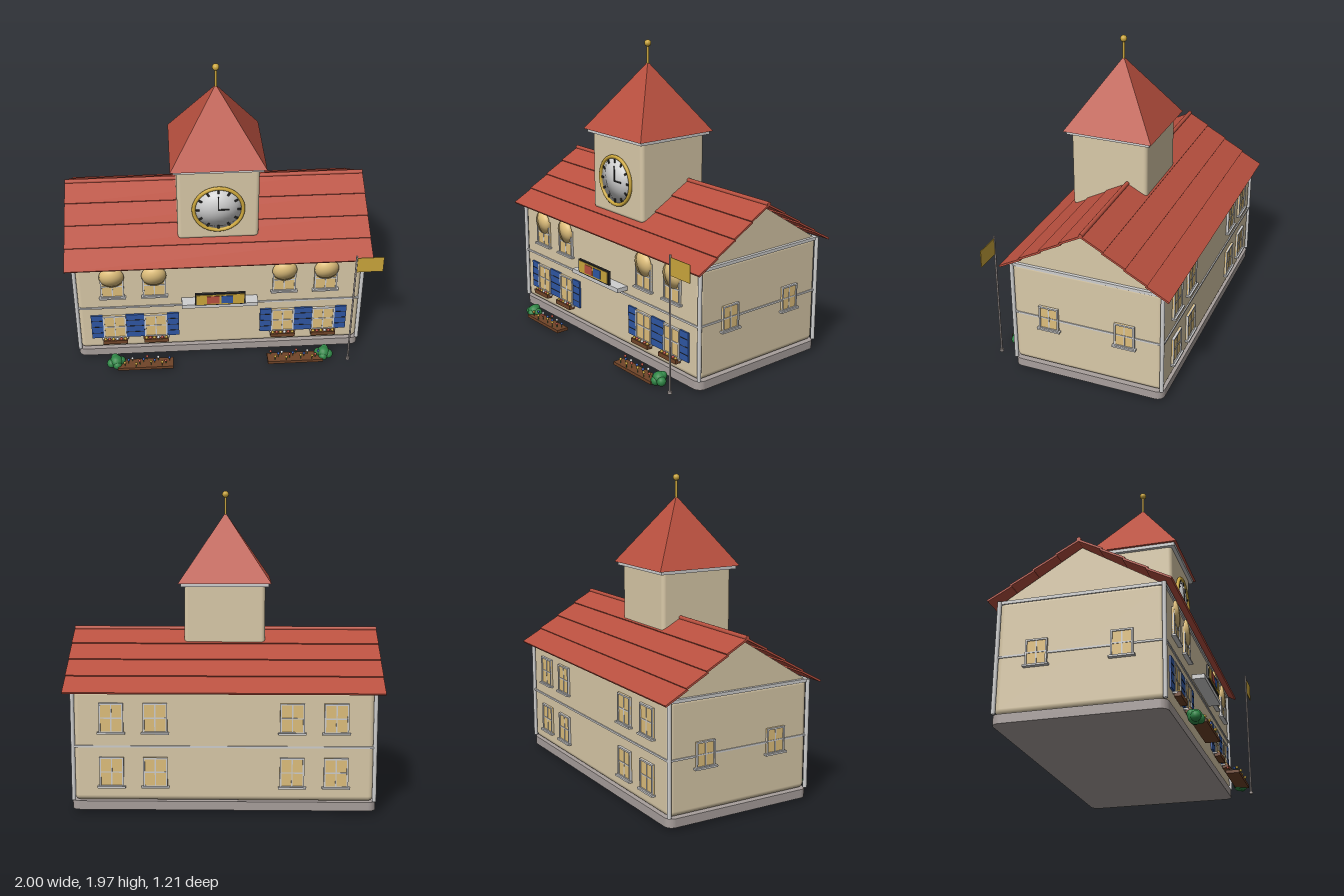
import * as THREE from 'three';
import { RoundedBoxGeometry } from 'three/addons/geometries/RoundedBoxGeometry.js';

const mat = (name, color) => {
  const m = new THREE.MeshStandardMaterial({ color });
  m.name = name;
  return m;
};
const wall = mat('cream plaster', 0xd9c9a8), roofRed = mat('red tile', 0xb9503f);
const stone = mat('grey stone', 0xa89f9c), trim = mat('light grey trim', 0xcfcfcf);
const gold = mat('gold', 0xcba63c), blue = mat('blue', 0x2f57a4);
const wood = mat('brown wood', 0x704428), green = mat('leaf green', 0x2e8545);
const dark = mat('dark metal', 0x2a2a2a), glass = mat('warm glass', 0xdfbf7c);

function add(parent, name, geo, m, x = 0, y = 0, z = 0) {
  const mesh = new THREE.Mesh(geo, m);
  mesh.name = name;
  mesh.position.set(x, y, z);
  parent.add(mesh);
  return mesh;
}
const box = (p, name, m, w, h, d, x, y, z) => add(p, name, new THREE.BoxGeometry(w, h, d), m, x, y, z);
const ball = (p, name, m, r, x, y, z) => add(p, name, new THREE.SphereGeometry(r, 14, 10), m, x, y, z);
const rod = (p, name, m, r, h, x, y, z) => add(p, name, new THREE.CylinderGeometry(r, r, h, 12), m, x, y, z);

function group(parent, name, x = 0, y = 0, z = 0, ry = 0) {
  const g = new THREE.Group();
  g.name = name;
  g.position.set(x, y, z);
  g.rotation.y = ry;
  parent.add(g);
  return g;
}

// Disc squashed from a ball, keeping the ball's soft normals
function softDisc(r, depth) {
  const geo = new THREE.SphereGeometry(r, 40, 20);
  const pos = geo.attributes.position;
  for (let i = 0; i < pos.count; i++) pos.setZ(i, pos.getZ(i) * depth / r);
  return geo;
}

// Four-pane window facing +z
function makeWindow(parent, name, w, h, x, y, z, ry = 0) {
  const g = group(parent, name, x, y, z, ry), t = 0.01;
  box(g, 'glass', glass, w, h, 0.008, 0, 0, 0.003);
  for (const s of [-1, 1]) {
    box(g, 'frameSide', trim, t, h, 0.018, s * (w - t) / 2, 0, 0.005);
    box(g, 'frameRail', trim, w, t, 0.018, 0, s * (h - t) / 2, 0.005);
  }
  box(g, 'mullion', trim, 0.008, h, 0.012, 0, 0, 0.004);
  box(g, 'crossbar', trim, w, 0.008, 0.012, 0, 0, 0.004);
  box(g, 'sill', trim, w + 0.022, 0.011, 0.03, 0, -h / 2, 0.01);
  return g;
}

function buildShell(house) {
  // Plinth with rounded corners
  const a = 0.94, b = 0.502, r = 0.05, s = new THREE.Shape();
  s.absarc(a - r, b - r, r, 0, Math.PI / 2);
  s.absarc(r - a, b - r, r, Math.PI / 2, Math.PI);
  s.absarc(r - a, r - b, r, Math.PI, Math.PI * 1.5);
  s.absarc(a - r, r - b, r, Math.PI * 1.5, Math.PI * 2);
  const base = new THREE.ExtrudeGeometry(s, { depth: 0.055, bevelEnabled: false, curveSegments: 5 });
  add(house, 'plinth', base.rotateX(-Math.PI / 2), stone, 0, 0.02, 0);

  add(house, 'walls', new RoundedBoxGeometry(1.85, 0.7, 0.985, 4, 0.035), wall, 0, 0.425, 0);
  box(house, 'stringCourse', trim, 1.862, 0.012, 1, 0, 0.42, 0);
  box(house, 'cornice', trim, 1.86, 0.02, 1, 0, 0.763, 0);

  const gable = new THREE.Shape([[-0.48, 0.77], [0.48, 0.77], [0, 1.068]].map(p => new THREE.Vector2(...p)));
  const gableGeo = new THREE.ExtrudeGeometry(gable, { depth: 1.82, bevelEnabled: false });
  add(house, 'gables', gableGeo.translate(0, 0, -0.91).rotateY(Math.PI / 2), wall);

  for (const x of [-0.928, 0.928]) for (const z of [-0.491, 0.491])
    rod(house, 'downpipe', trim, 0.013, 0.69, x, 0.425, z);
}

function buildRoof(house) {
  // Overlapping tile courses on both slopes
  const rows = 4, run = 0.542, rise = 0.325, len = Math.hypot(run, rise), step = len / rows;
  for (const ry of [0, Math.PI]) {
    const side = group(house, 'roofSlope', 0, 1.085, 0, ry);
    const slope = group(side, 'courses');
    slope.rotation.x = Math.atan2(rise, run);
    for (let i = 0; i < rows; i++) {
      const row = box(slope, 'tileCourse', roofRed, 1.962, 0.012, step + 0.006, 0, 0, (i + 0.5) * step);
      row.rotation.x = -0.05;
    }
  }
  const ridge = rod(house, 'ridge', roofRed, 0.014, 1.962, 0, 1.087, 0);
  ridge.rotation.z = Math.PI / 2;
}

function buildTower(house) {
  const t = group(house, 'clockTower', 0, 0, 0.125);
  add(t, 'towerWalls', new RoundedBoxGeometry(0.516, 0.53, 0.512, 4, 0.025), wall, 0, 1.128, 0);
  box(t, 'towerCornice', trim, 0.56, 0.025, 0.56, 0, 1.383, 0);
  const spire = new THREE.ConeGeometry(0.297 * Math.SQRT2, 0.44, 4).rotateY(Math.PI / 4).toNonIndexed();
  spire.computeVertexNormals();
  add(t, 'spire', spire, roofRed, 0, 1.612, 0);
  rod(t, 'finialRod', gold, 0.008, 0.13, 0, 1.88, 0);
  ball(t, 'finialBall', gold, 0.022, 0, 1.95, 0);

  // Clock
  const c = group(t, 'clock', 0, 1.096, 0.262);
  add(c, 'clockRim', new THREE.TorusGeometry(0.156, 0.012, 10, 48), gold, 0, 0, 0.006);
  add(c, 'clockFace', softDisc(0.153, 0.012), trim);
  for (let i = 0; i < 12; i++) {
    const arm = group(c, 'hourMark');
    arm.rotation.z = i * Math.PI / 6;
    box(arm, 'mark', dark, 0.012, 0.024, 0.006, 0, 0.13, 0.009);
  }
  box(c, 'minuteHand', dark, 0.008, 0.1, 0.005, 0, 0.046, 0.015);
  box(c, 'hourHand', dark, 0.07, 0.009, 0.005, 0.034, 0, 0.015);
}

function buildWindows(house) {
  const petals = [gold, roofRed, gold, trim, roofRed, gold];
  for (const x of [-0.69, -0.42, 0.42, 0.69]) {
    // Front: arched upper window, shuttered lower window with flower box
    makeWindow(house, 'upperWindow', 0.15, 0.18, x, 0.6, 0.495);
    add(house, 'windowArch', softDisc(0.08, 0.012), glass, x, 0.677, 0.505);
    makeWindow(house, 'lowerWindow', 0.15, 0.187, x, 0.26, 0.495);
    for (const s of [-1, 1]) {
      const sh = group(house, 'shutter', x + s * 0.114, 0.264, 0.498);
      box(sh, 'panel', blue, 0.077, 0.188, 0.012, 0, 0, 0);
      for (let i = -1; i < 2; i++) box(sh, 'slatGroove', dark, 0.068, 0.004, 0.004, 0, i * 0.05, 0.006);
    }
    box(house, 'flowerBox', wood, 0.162, 0.028, 0.04, x, 0.158, 0.52);
    petals.forEach((m, i) => ball(house, 'boxFlower', m, 0.01, x - 0.065 + i * 0.026, 0.175, 0.525));
    // Back
    for (const y of [0.6, 0.26]) makeWindow(house, 'backWindow', 0.15, 0.187, x, y, -0.495, Math.PI);
  }
  for (const s of [-1, 1]) for (const z of [-0.25, 0.25])
    makeWindow(house, 'sideWindow', 0.13, 0.16, s * 0.927, 0.426, z, s * Math.PI / 2);
}

function buildSign(house) {
  box(house, 'balconyShelf', trim, 0.492, 0.028, 0.08, 0, 0.463, 0.53);
  const g = group(house, 'signBoard', 0, 0.523, 0.57);
  box(g, 'signFrame', dark, 0.325, 0.092, 0.016, 0, 0, 0);
  box(g, 'signPanel', gold, 0.308, 0.076, 0.009, 0, 0, 0.007);
  box(g, 'redPanel', roofRed, 0.08, 0.058, 0.008, -0.046, 0, 0.011);
  box(g, 'bluePanel', blue, 0.075, 0.058, 0.008, 0.044, 0, 0.011);
}

function buildGarden(house) {
  const petals = [roofRed, gold, blue, trim, gold, roofRed, blue];
  for (const s of [-1, 1]) {
    const g = group(house, 'flowerBed', s * 0.497, 0, 0.617);
    box(g, 'soil', wood, 0.368, 0.02, 0.085, 0, 0.026, 0);
    for (let i = 0; i < 14; i++) {
      const x = -0.16 + i * 0.0245, z = ((i * 5) % 7 - 3) * 0.011, y = 0.06 + (i % 3) * 0.004;
      rod(g, 'stem', green, 0.002, y - 0.03, x, (y + 0.03) / 2, z);
      ball(g, 'bloom', petals[i % 7], 0.009, x, y, z);
    }
    // Bush from overlapping balls
    const bush = group(house, 'bush', s * 0.69, 0, 0.598);
    for (const [x, y, z, r] of [[0, 0.045, 0, 0.043], [0.032, 0.038, 0.01, 0.03], [-0.032, 0.04, -0.008, 0.03],
      [0.008, 0.06, -0.02, 0.027], [-0.006, 0.034, 0.024, 0.03]]) ball(bush, 'leaves', green, r, s * x, y, z);
  }
  // Flag on its pole
  rod(house, 'flagPole', stone, 0.006, 0.86, 0.847, 0.45, 0.647);
  rod(house, 'poleFoot', stone, 0.013, 0.015, 0.847, 0.027, 0.647);
  box(house, 'flag', gold, 0.17, 0.11, 0.005, 0.934, 0.81, 0.647);
}

export function createModel() {
  const model = new THREE.Group();
  model.name = 'townHall';
  const house = group(model, 'building', -0.019, 0, -0.057);
  [buildShell, buildRoof, buildTower, buildWindows, buildSign, buildGarden].forEach(build => build(house));
  return model;
}
